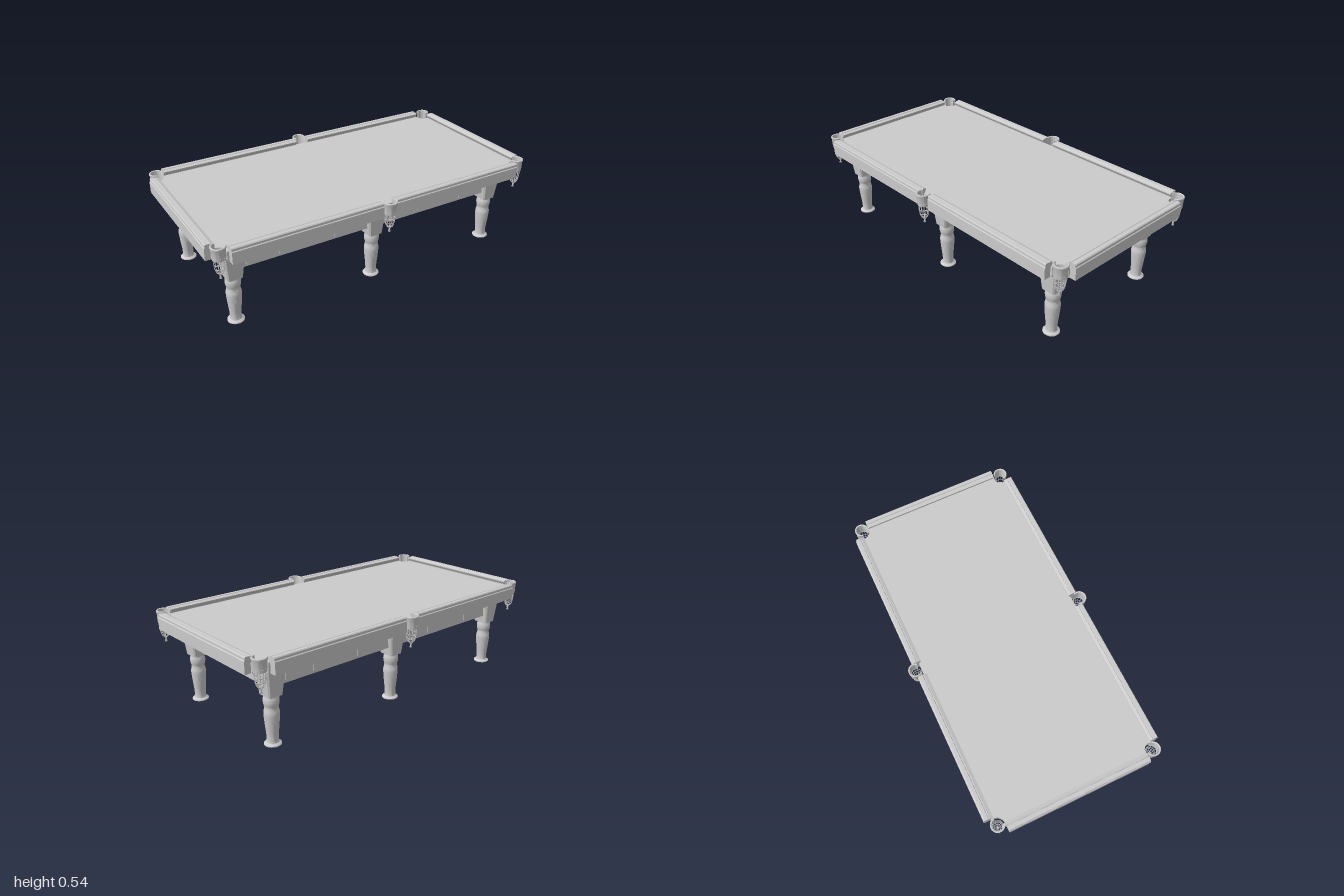
import * as THREE from 'three';
import { toCreasedNormals } from 'three/addons/utils/BufferGeometryUtils.js';

const grey = new THREE.MeshStandardMaterial({ color: 0xcccccc });
const greyDouble = new THREE.MeshStandardMaterial({ color: 0xcccccc, side: THREE.DoubleSide });

const v2 = (pts) => pts.map(([x, y]) => new THREE.Vector2(x, y));

function add(parent, name, geometry, x = 0, y = 0, z = 0, material = grey) {
  const mesh = new THREE.Mesh(geometry, material);
  mesh.name = name;
  mesh.position.set(x, y, z);
  parent.add(mesh);
  return mesh;
}

function box(parent, name, x0, x1, y0, y1, z0, z1) {
  return add(parent, name, new THREE.BoxGeometry(x1 - x0, y1 - y0, z1 - z0),
    (x0 + x1) / 2, (y0 + y1) / 2, (z0 + z1) / 2);
}

// Cloth-covered slab with a round bite at each corner for the pockets
function bedGeometry() {
  const cx = 0.945, cz = 0.457, r = 0.04;
  const s = new THREE.Shape();
  for (const [sx, sz, turn] of [[1, 1, 0], [-1, 1, 90], [-1, -1, 180], [1, -1, 270]]) {
    const a = THREE.MathUtils.degToRad(turn - 60), b = THREE.MathUtils.degToRad(turn + 150);
    s.absarc(sx * cx, sz * cz, r, a, b, true);
  }
  const g = new THREE.ExtrudeGeometry(s, { depth: 0.056, bevelEnabled: false, curveSegments: 10 });
  return g.rotateX(-Math.PI / 2);
}

// Rail section: x = outward (0 is the outer face), y = height; wooden cap, then cushion
const railSection = [
  [0, 0.444], [0, 0.51], [-0.004, 0.514], [-0.004, 0.526], [-0.008, 0.531], [-0.028, 0.531],
  [-0.03, 0.527], [-0.033, 0.527], [-0.035, 0.53], [-0.053, 0.524], [-0.053, 0.518],
  [-0.045, 0.505], [-0.045, 0.444],
];

function railGeometry(length) {
  const g = new THREE.ExtrudeGeometry(new THREE.Shape(v2(railSection)), { depth: length, bevelEnabled: false });
  return g.translate(0, 0, -length / 2);
}

// Leg: tapered, chamfered block above a turned column
function makeLeg() {
  const leg = new THREE.Group();
  leg.name = 'leg';
  const h = 0.5, c = 0.42, y0 = 0.272, y1 = 0.446;
  const s = new THREE.Shape(v2([[h, -c], [h, c], [c, h], [-c, h], [-h, c], [-h, -c], [-c, -h], [c, -h]]));
  const block = new THREE.ExtrudeGeometry(s, { depth: 1, bevelEnabled: false, steps: 4 });
  block.rotateX(-Math.PI / 2);
  const p = block.attributes.position;
  for (let i = 0; i < p.count; i++) {
    const t = p.getY(i);
    p.setXYZ(i, p.getX(i) * (0.082 + 0.041 * t), y0 + (y1 - y0) * t, p.getZ(i) * (0.092 + 0.035 * t));
  }
  block.computeVertexNormals();
  add(leg, 'legBlock', block);

  const curve = new THREE.SplineCurve(v2([
    [0.033, 0.014], [0.031, 0.03], [0.032, 0.06], [0.037, 0.11], [0.041, 0.16], [0.041, 0.178],
    [0.037, 0.198], [0.036, 0.208], [0.041, 0.228], [0.042, 0.248], [0.038, 0.264], [0.036, 0.275],
  ]));
  const column = [...v2([[0, 0], [0.046, 0], [0.046, 0.005], [0.04, 0.01]]), ...curve.getPoints(32)];
  add(leg, 'turnedColumn', toCreasedNormals(new THREE.LatheGeometry(column, 24), 0.7));
  return leg;
}

// Pocket: leather shell open towards the table, with a hanging cord net and tassel
function makePocket(facing) {
  const pocket = new THREE.Group();
  pocket.name = 'pocket';
  const arc = THREE.MathUtils.degToRad(250), start = facing - arc / 2;
  const shell = v2([[0.03, 0.465], [0.034, 0.463], [0.036, 0.475], [0.037, 0.518], [0.04, 0.524],
    [0.04, 0.532], [0.037, 0.535], [0.031, 0.533], [0.03, 0.52], [0.03, 0.465]]);
  add(pocket, 'pocketShell', toCreasedNormals(new THREE.LatheGeometry(shell, 20, start, arc), 0.6), 0, 0, 0, greyDouble);

  // Studs around the shell
  for (let i = 0; i < 7; i++) {
    const a = start + arc * (i + 0.5) / 7;
    add(pocket, 'stud', new THREE.SphereGeometry(0.0025, 6, 4), 0.0365 * Math.sin(a), 0.478, 0.0365 * Math.cos(a));
  }

  const profile = [[0.031, 0.485], [0.03, 0.465], [0.028, 0.435], [0.025, 0.41], [0.018, 0.388], [0.004, 0.374]];
  const path = new THREE.CatmullRomCurve3(profile.map(([r, y]) => new THREE.Vector3(r, y, 0)));
  const cord = new THREE.TubeGeometry(path, 12, 0.0016, 5);
  for (let i = 0; i < 12; i++) add(pocket, 'netCord', cord).rotation.y = (i / 12) * Math.PI * 2;
  for (const [r, y] of profile.slice(1, 5)) {
    add(pocket, 'netRing', new THREE.TorusGeometry(r, 0.0016, 5, 20), 0, y, 0).rotation.x = Math.PI / 2;
  }
  const tassel = v2([[0, 0.352], [0.008, 0.352], [0.004, 0.364], [0.006, 0.37], [0.005, 0.376], [0, 0.379]]);
  add(pocket, 'tassel', new THREE.LatheGeometry(tassel, 10));
  return pocket;
}

export function createModel() {
  const table = new THREE.Group();
  table.name = 'billiardTable';

  add(table, 'bed', bedGeometry(), 0, 0.444, 0);

  // Two rails on each long side, one on each end
  for (const s of [-1, 1]) {
    for (const x of [-0.47, 0.47]) {
      add(table, 'sideRail', railGeometry(0.86), x, 0, s * 0.515).rotation.y = -s * Math.PI / 2;
    }
    add(table, 'endRail', railGeometry(0.83), s, 0, 0).rotation.y = s > 0 ? 0 : Math.PI;
  }

  // Pockets at the corners and the middle of the long sides
  for (const sz of [-1, 1]) {
    for (const sx of [-1, 0, 1]) {
      const pocket = makePocket(Math.atan2(sx, sz));
      pocket.position.set(sx * 0.945, 0, sz * (sx ? 0.457 : 0.511));
      table.add(pocket);
    }
  }

  // Six legs
  const legXs = [-0.848, -0.008, 0.818], legZ = 0.353;
  for (const x of legXs) {
    for (const s of [-1, 1]) {
      const leg = makeLeg();
      leg.position.set(x, 0, s * legZ);
      table.add(leg);
    }
  }

  // Apron walls, underside panel and cross beams
  const x0 = -0.878, x1 = 0.848, z = 0.38, y0 = 0.32, y1 = 0.446, t = 0.02;
  for (const s of [-1, 1]) {
    const zi = s * (z - t), zo = s * z;
    box(table, 'sideApron', x0, x1, y0, y1, Math.min(zi, zo), Math.max(zi, zo));
  }
  box(table, 'endApron', x0, x0 + t, y0, y1, -z, z);
  box(table, 'endApron', x1 - t, x1, y0, y1, -z, z);
  box(table, 'underside', x0 + 0.01, x1 - 0.01, 0.334, 0.344, -z + 0.01, z - 0.01);
  for (const x of legXs) box(table, 'crossBeam', x - 0.015, x + 0.015, 0.321, 0.34, -z + t, z - t);

  // Shallow raised panels along the apron
  const d = 0.004;
  const bays = [[-0.78, -0.605], [-0.595, -0.275], [-0.265, -0.075], [0.06, 0.275], [0.285, 0.575], [0.585, 0.75]];
  for (const [a, b] of bays) {
    for (const s of [-1, 1]) box(table, 'sidePanel', a, b, 0.335, 0.435, s * z - d, s * z + d);
  }
  for (const [a, b] of [[-0.29, -0.165], [-0.155, 0.155], [0.165, 0.29]]) {
    for (const x of [x0, x1]) box(table, 'endPanel', x - d, x + d, 0.335, 0.435, a, b);
  }
  return table;
}
